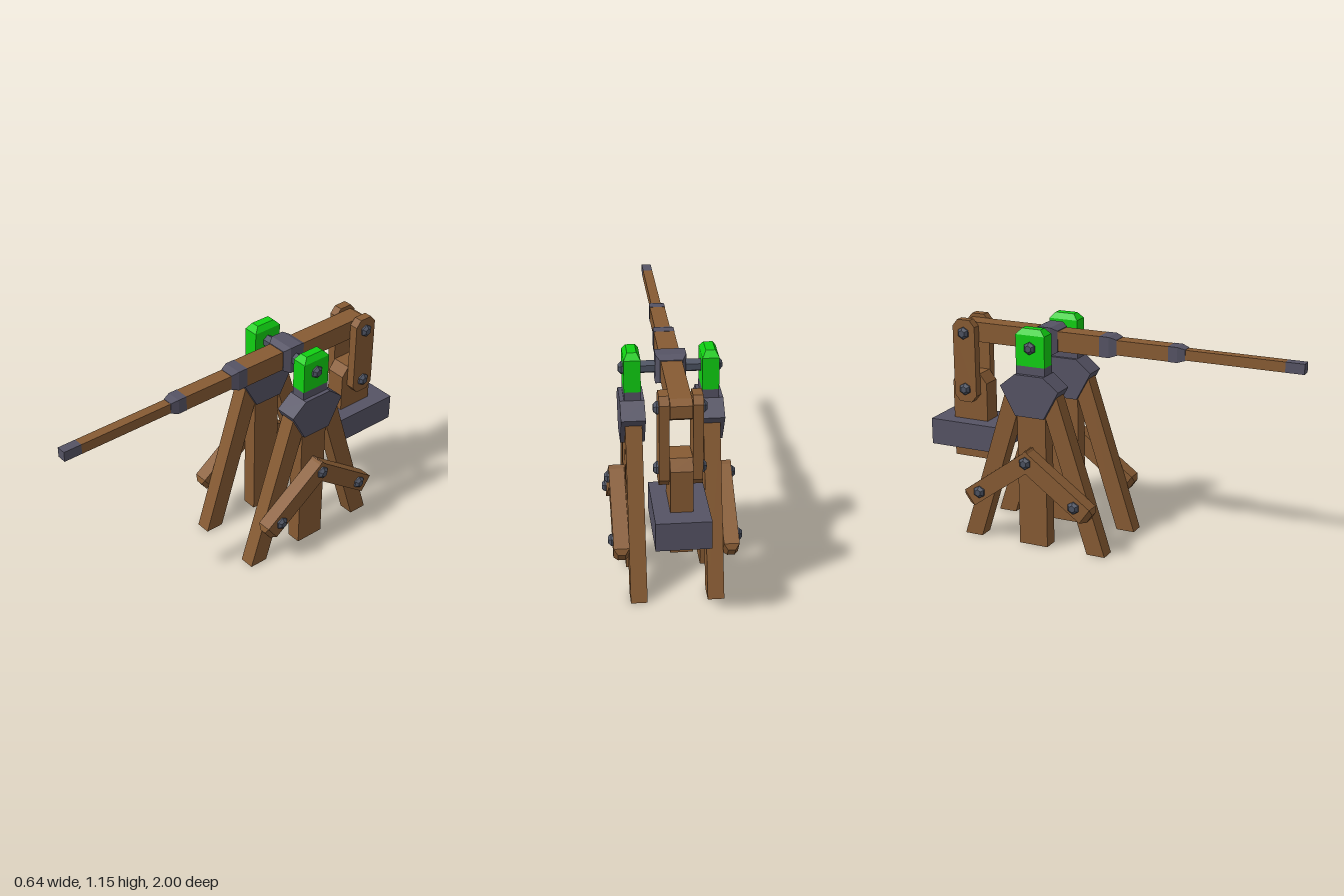
import * as THREE from 'three';

const mat = (name, color) => Object.assign(new THREE.MeshStandardMaterial({ color }), { name });

export function createModel() {
  const wood = mat('wood', 0x875b33);
  const iron = mat('iron', 0x555364);
  const boltIron = mat('boltIron', 0x4c5261);
  const green = mat('green', 0x10d012);

  const model = new THREE.Group();
  model.name = 'siegeCatapult';

  const add = (name, geo, material, x = 0, y = 0, z = 0) => {
    const m = new THREE.Mesh(geo, material);
    m.name = name;
    m.position.set(x, y, z);
    model.add(m);
    return m;
  };

  // Box given by its limits
  const block = (name, material, x0, x1, y0, y1, z0, z1) =>
    add(name, new THREE.BoxGeometry(x1 - x0, y1 - y0, z1 - z0), material,
      (x0 + x1) / 2, (y0 + y1) / 2, (z0 + z1) / 2);

  // Rectangular sections [y, halfX, halfZ] stacked upwards, closed at both ends
  const stack = (rows) => {
    const rings = rows.map(([y, a, b]) => [[-a, y, b], [a, y, b], [a, y, -b], [-a, y, -b]]);
    const pos = [];
    const quad = (a, b, c, d) => pos.push(...a, ...b, ...c, ...a, ...c, ...d);
    for (let i = 0; i < rings.length - 1; i++) {
      for (let k = 0; k < 4; k++) {
        const n = (k + 1) % 4;
        quad(rings[i][k], rings[i][n], rings[i + 1][n], rings[i + 1][k]);
      }
    }
    quad(...rings[rings.length - 1]);
    quad(...rings[0].slice().reverse());
    const g = new THREE.BufferGeometry();
    g.setAttribute('position', new THREE.Float32BufferAttribute(pos, 3));
    g.computeVertexNormals();
    return g;
  };
  const stackZ = (rows) => stack(rows).rotateX(Math.PI / 2);

  // Side profile of [z, y] points, extruded across x and centred on x = 0
  const slab = (points, width) => {
    const shape = new THREE.Shape(points.map(([z, y]) => new THREE.Vector2(z, y)));
    return new THREE.ExtrudeGeometry(shape, { depth: width, bevelEnabled: false })
      .translate(0, 0, -width / 2).rotateY(-Math.PI / 2);
  };

  // Six-sided bolt head pointing out along x
  const boltGeo = new THREE.LatheGeometry(
    [[0, -0.01], [0.033, -0.01], [0.033, 0.008], [0.018, 0.022], [0, 0.022]]
      .map(([r, h]) => new THREE.Vector2(r, h)), 6, Math.PI / 6)
    .rotateZ(-Math.PI / 2).toNonIndexed();
  boltGeo.computeVertexNormals();
  const bolt = (name, s, x, y, z) => {
    add(name, boltGeo, boltIron, s * x, y, z).rotation.y = s > 0 ? 0 : Math.PI;
  };

  const pz = -0.35;  // pivot z
  const py = 1.055;  // pivot height

  for (const s of [1, -1]) {
    const side = s > 0 ? 'left' : 'right';
    const x = s * 0.185;

    // Tower: upright, bracket, collar and axle cap
    block(side + 'Post', wood, x - 0.04, x + 0.04, 0, 0.72, pz - 0.08, pz + 0.08);
    add(side + 'Bracket', slab([[-0.08, 0.70], [0.08, 0.70], [0.163, 0.85], [0.08, 0.917],
      [-0.08, 0.917], [-0.163, 0.85]], 0.117), iron, s * 0.187, 0, pz);
    block(side + 'Collar', iron, x - 0.04, x + 0.04, 0.91, 0.96, pz - 0.08, pz + 0.08);
    add(side + 'AxleCap', stack([[0.96, 0.04, 0.08], [1.12, 0.04, 0.08], [1.15, 0.022, 0.052]]),
      green, x, 0, pz);
    bolt(side + 'AxleBolt', s, 0.225, py, pz);
    bolt(side + 'BraceTopBolt', s, 0.30, 0.475, pz);

    // Splayed legs and braces, front and back
    for (const f of [1, -1]) {
      const end = f > 0 ? 'Front' : 'Back';
      add(side + end + 'Leg', slab([[f * 0.305, 0], [f * 0.405, 0], [f * 0.14, 0.83],
        [f * 0.04, 0.83]], 0.08), wood, x, 0, pz);
      const brace = stack([[-0.04, 0.0375, 0.048], [0.405, 0.0375, 0.048], [0.43, 0.018, 0.028]]);
      add(side + end + 'Brace', brace, wood, s * 0.2625, 0.475, pz)
        .rotation.x = f * Math.atan2(0.81, -0.585);
      bolt(side + end + 'BraceBolt', s, 0.30, 0.278, pz + f * 0.27);
    }

    // Hanger link carrying the counterweight
    add(side + 'HangerLink', slab([[-0.035, 0.685], [0.035, 0.685], [0.064, 0.72], [0.064, 1.09],
      [0.035, 1.125], [-0.035, 1.125], [-0.064, 1.09], [-0.064, 0.72]], 0.046),
      wood, s * 0.076, 0, -0.803);
    bolt(side + 'HangerTopBolt', s, 0.099, py, -0.803);
    bolt(side + 'HangerLowBolt', s, 0.099, 0.755, -0.803);
  }

  // Axle and its hub
  const axle = new THREE.CylinderGeometry(0.032, 0.032, 0.44, 6, 1, false, Math.PI / 6)
    .rotateZ(-Math.PI / 2).toNonIndexed();
  axle.computeVertexNormals();
  add('axle', axle, boltIron, 0, py, pz);
  add('axleHub', stackZ([[-0.067, 0.054, 0.056], [-0.035, 0.073, 0.073],
    [0.035, 0.073, 0.073], [0.067, 0.054, 0.056]]), iron, 0, py, pz);

  // Throwing arm, thinner towards the front
  add('armBeam', stackZ([[-0.865, 0.05, 0.03], [-0.83, 0.05, 0.052], [-0.05, 0.05, 0.052]]),
    wood, 0, py);
  add('armRearFerrule', stackZ([[-0.052, 0.051, 0.053], [0, 0.051, 0.053], [0.038, 0.039, 0.04]]),
    iron, 0, py);
  add('armMiddle', stackZ([[0.03, 0.038, 0.038], [0.315, 0.038, 0.038]]), wood, 0, py);
  add('armFrontFerrule', stackZ([[0.313, 0.039, 0.039], [0.36, 0.039, 0.039],
    [0.398, 0.027, 0.028]]), iron, 0, py);
  add('armFront', stackZ([[0.39, 0.025, 0.026], [0.905, 0.025, 0.026]]), wood, 0, py);
  add('armTip', stackZ([[0.905, 0.025, 0.026], [1, 0.025, 0.026]]), iron, 0, py);

  // Counterweight on its post
  add('weightPost', slab([[-0.1, 0.365], [0.1, 0.365], [0.1, 0.78], [0.06, 0.83],
    [-0.06, 0.83], [-0.1, 0.78]], 0.104), wood, 0, 0, -0.803);
  block('counterweight', iron, -0.128, 0.128, 0.435, 0.575, -1, -0.605);

  return model;
}
